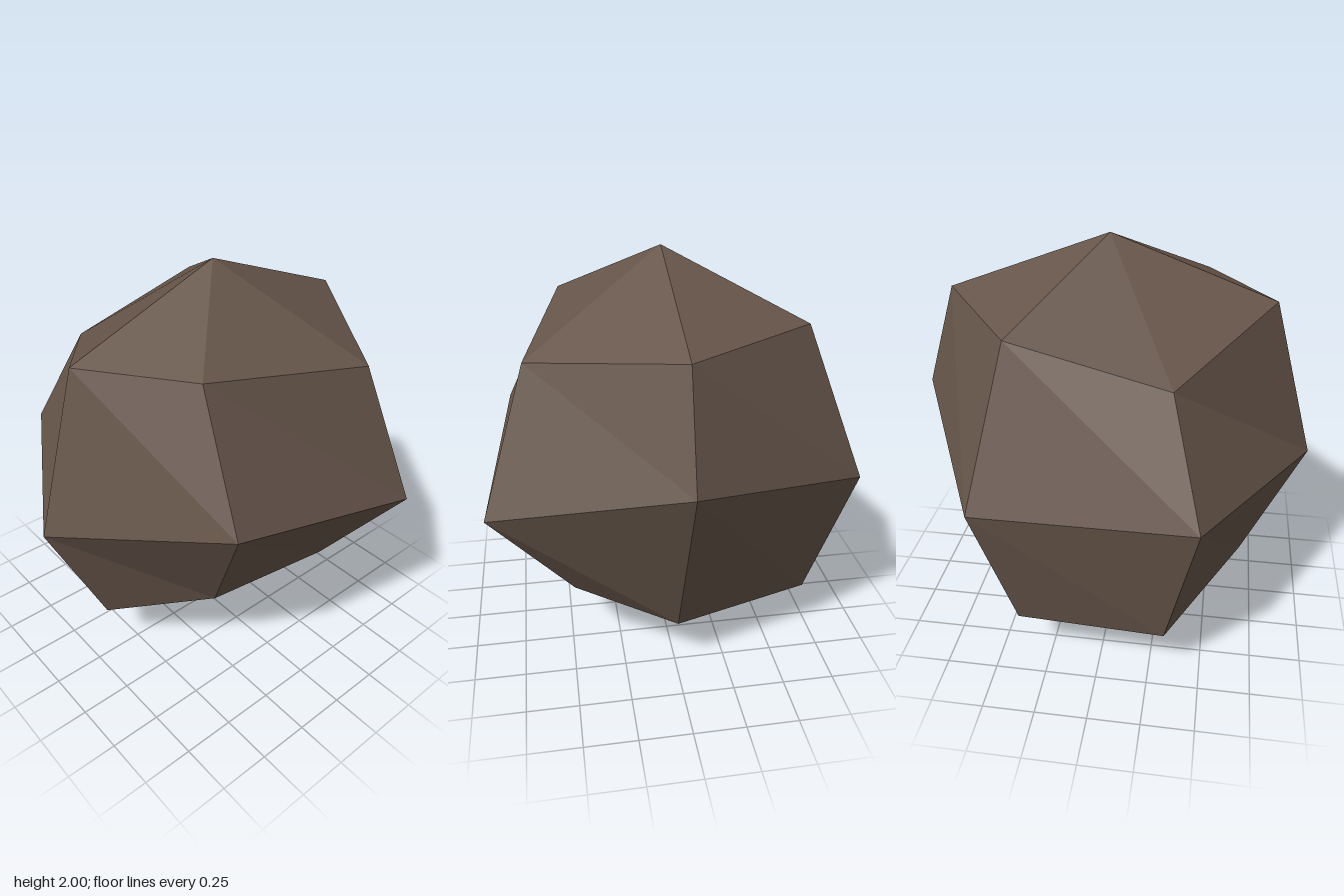
import * as THREE from 'three';

// Rough faceted boulder: three uneven six-sided rings between two poles.
export function createModel() {
  const group = new THREE.Group();
  group.name = 'boulder';
  const stone = new THREE.MeshStandardMaterial({ color: 0x66554a, flatShading: true });
  stone.name = 'brown stone';

  const top = [0.03, 2, 0];
  const bottom = [0.03, 0, 0];
  // Each ring runs from -x through the front to +x and round the back.
  const rings = [
    [[-0.745, 1.71, 0], [-0.415, 1.71, 0.46], [0.385, 1.6, 0.65], [0.8, 1.71, 0], [0.385, 1.71, -0.61], [-0.32, 1.525, -0.61]],
    [[-0.965, 0.935, 0], [-0.47, 1.105, 0.75], [0.53, 0.92, 0.865], [0.96, 1.2, 0], [0.53, 1, -0.865], [-0.47, 1, -0.865]],
    [[-0.675, 0.295, 0], [-0.325, 0.485, 0.44], [0.385, 0.415, 0.48], [0.59, 0.295, 0], [0.385, 0.295, -0.69], [-0.325, 0.295, -0.725]],
  ];

  const positions = [];
  const triangle = (...corners) => corners.forEach((p) => positions.push(...p));
  for (let i = 0; i < 6; i++) {
    const j = (i + 1) % 6;
    // Caps
    triangle(top, rings[0][i], rings[0][j]);
    triangle(bottom, rings[2][j], rings[2][i]);
    // Side bands
    for (let r = 0; r < 2; r++) {
      const upper = rings[r], lower = rings[r + 1];
      triangle(upper[j], upper[i], lower[j]);
      triangle(upper[i], lower[i], lower[j]);
    }
  }

  const geometry = new THREE.BufferGeometry();
  geometry.setAttribute('position', new THREE.Float32BufferAttribute(positions, 3));
  geometry.computeVertexNormals();
  const rock = new THREE.Mesh(geometry, stone);
  rock.name = 'rock';
  group.add(rock);
  return group;
}
